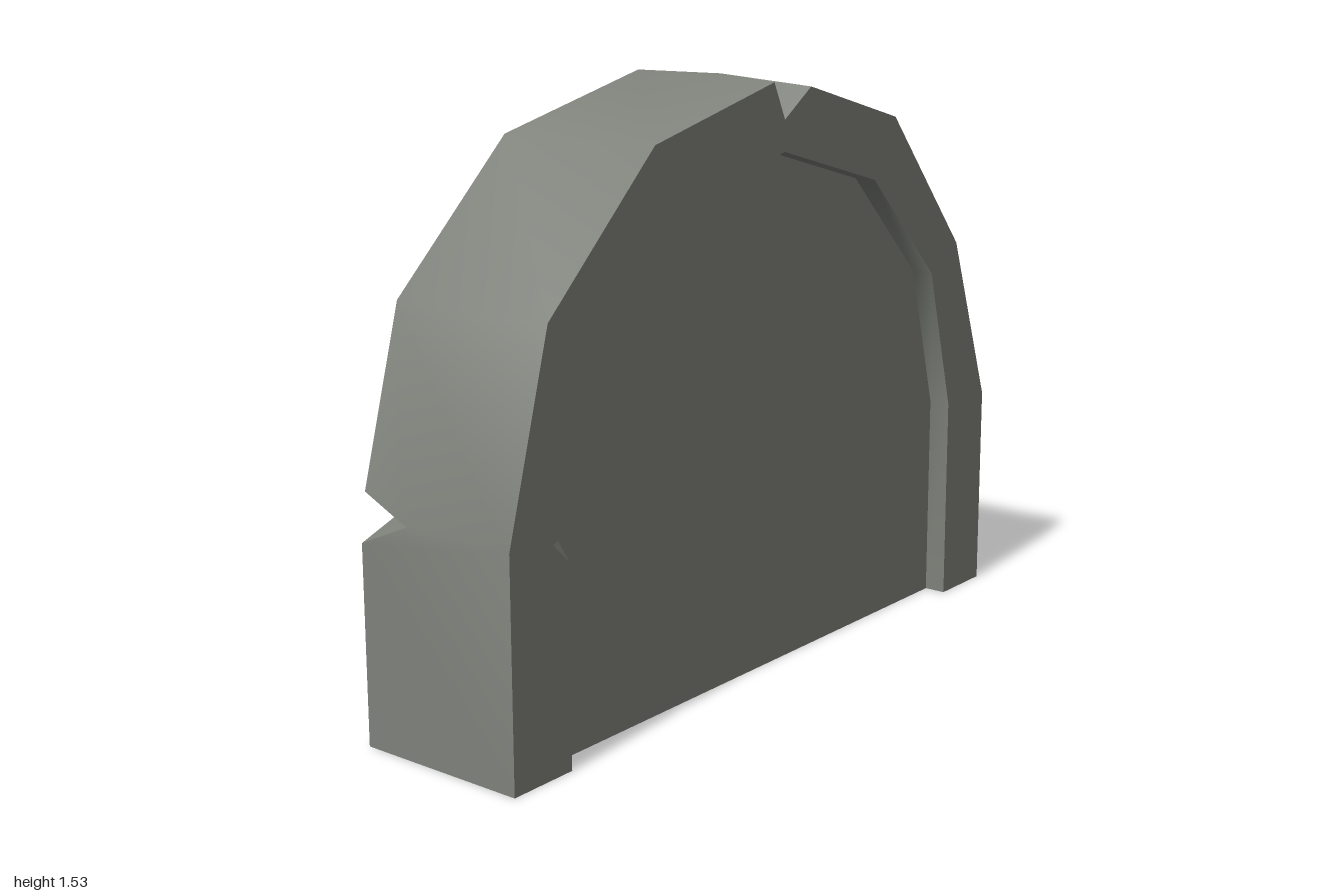
import * as THREE from 'three';
import { toCreasedNormals } from 'three/addons/utils/BufferGeometryUtils.js';

const SPRING = 0.565; // height where the straight sides become the arch

// Arch outline from the +x foot over the top to the -x foot
function arch(r) {
  const pts = [[r, 0]];
  for (let i = 0; i <= 6; i++) {
    const a = (i * Math.PI) / 6;
    pts.push([r * Math.cos(a), SPRING + 0.97 * r * Math.sin(a)]);
  }
  pts.push([-r, 0]);
  return pts;
}

// Chips: outline index, chipped end, depth of the tip, and the three points cut into the edge
const outerChips = [
  { i: 4, end: 'front', z: 0.04, pts: [[0.11, 1.505], [0, 1.43], [-0.045, 1.523]] },
  { i: 2, end: 'back', z: -0.08, pts: [[0.848, 0.97], [0.755, 0.97], [0.785, 1.08]] },
  { i: 7, end: 'back', z: -0.08, pts: [[-0.985, 0.62], [-0.894, 0.54], [-1, 0.5]] },
];
const innerChips = [
  { i: 7, end: 'front', z: 0.19, pts: [[-0.807, 0.575], [-0.86, 0.55], [-0.81, 0.5]] },
];

// Outline with the chips of one end cut in
function chipped(profile, chips, end) {
  return profile.flatMap((p, i) => {
    const c = chips.find((k) => k.i === i && k.end === end);
    return c ? c.pts : [p];
  });
}

// Wall running from the back outline to the front outline, following the chips
function wall(back, front, zBack, zFront, chips, inward) {
  const out = [];
  const tri = (a, b, c, flip) => out.push(...a, ...(flip ? c : b), ...(flip ? b : c));
  // points from back to front at outline index i, k = 0 before a chip, 2 after it
  const chain = (i, k) => {
    const c = chips.find((n) => n.i === i);
    const b = [...back[i], zBack];
    const f = [...front[i], zFront];
    if (!c) return [b, f];
    const tip = [...front[i], c.z];
    return c.end === 'front'
      ? [b, tip, [...c.pts[k], zFront]]
      : [[...c.pts[k], zBack], tip, f];
  };
  for (let i = 0; i < back.length - 1; i++) {
    const poly = [...chain(i, 2), ...chain(i + 1, 0).reverse()];
    for (let j = 1; j < poly.length - 1; j++) tri(poly[0], poly[j], poly[j + 1], !inward);
  }
  for (const c of chips) {
    const atFront = c.end === 'front';
    const [a, d, b] = c.pts.map((p) => [...p, atFront ? zFront : zBack]);
    const tip = [...front[c.i], c.z];
    const flip = atFront !== inward;
    tri(tip, a, d, flip);
    tri(tip, d, b, flip);
  }
  const g = new THREE.BufferGeometry();
  g.setAttribute('position', new THREE.Float32BufferAttribute(out, 3));
  return toCreasedNormals(g, 0.6);
}

// Flat face filling an outline at one depth
function plate(points, z, facesBack) {
  const pts = points.map(([x, y]) => new THREE.Vector2(facesBack ? -x : x, y));
  const g = new THREE.ShapeGeometry(new THREE.Shape(pts));
  if (facesBack) g.rotateY(Math.PI);
  return g.translate(0, 0, z);
}

export function createModel() {
  const group = new THREE.Group();
  const stone = new THREE.MeshStandardMaterial({ color: 0x7f827b, side: THREE.DoubleSide });
  stone.name = 'stone grey';
  const add = (name, geometry) => {
    const mesh = new THREE.Mesh(geometry, stone);
    mesh.name = name;
    group.add(mesh);
  };

  const outer = arch(1);
  outer[2] = [0.83, 1.03];
  const inner = arch(0.81);
  const panelBase = arch(0.605);
  const panelTop = arch(0.575);
  const zF = 0.24, zB = -0.23, floorF = 0.18, floorB = -0.17, zPanel = -0.24;

  // Chipped outer shell, open underneath
  add('outerWall', wall(outer, outer, zB, zF, outerChips, false));

  // Front rim and sunken face
  const frontInner = chipped(inner, innerChips, 'front');
  add('frontRim', plate([...chipped(outer, outerChips, 'front'), ...frontInner.reverse()], zF, false));
  add('frontRecessWall', wall(inner, inner, floorF, zF, innerChips, true));
  add('frontFace', plate(inner, floorF, false));

  // Back rim and sunken face
  add('backRim', plate([...chipped(outer, outerChips, 'back'), ...[...inner].reverse()], zB, true));
  add('backRecessWall', wall(inner, inner, zB, floorB, [], true));
  add('backFace', plate(inner, floorB, true));

  // Raised bevelled panel on the back, closed underneath
  add('backPanelBevel', wall(panelTop, panelBase, zPanel, floorB, [], false));
  add('backPanelFace', plate(panelTop, zPanel, true));
  const [a, b] = [panelTop[0][0], panelBase[0][0]];
  const base = new THREE.ShapeGeometry(new THREE.Shape([
    new THREE.Vector2(-a, zPanel), new THREE.Vector2(a, zPanel),
    new THREE.Vector2(b, floorB), new THREE.Vector2(-b, floorB),
  ]));
  add('backPanelUnderside', base.rotateX(Math.PI / 2));

  return group;
}
